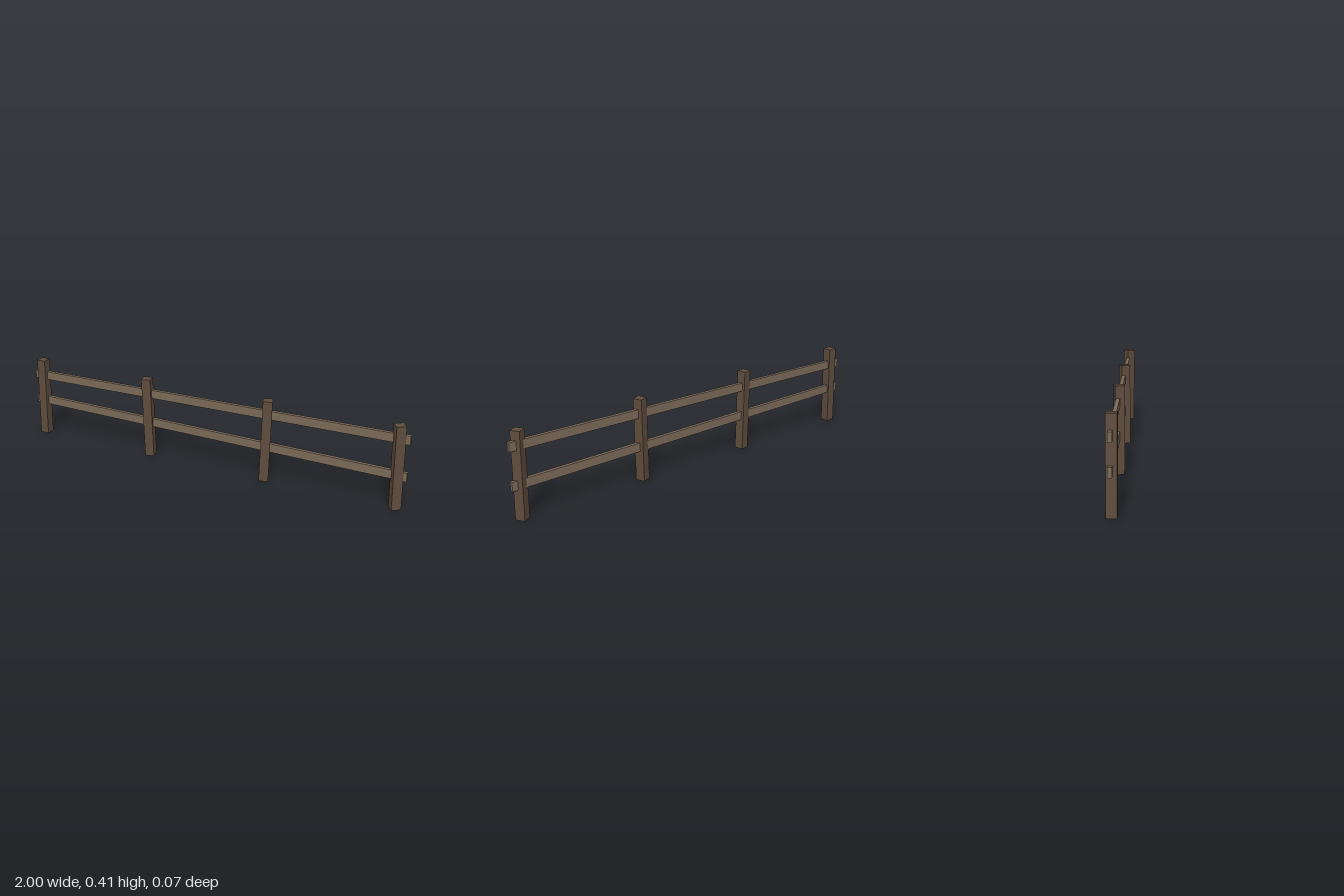
import * as THREE from 'three';

export function createModel() {
  const model = new THREE.Group();
  model.name = 'fence';
  const postWood = new THREE.MeshStandardMaterial({ color: 0x5f4c3e, flatShading: true });
  const railWood = new THREE.MeshStandardMaterial({ color: 0x7a6a58, flatShading: true });

  function beam(name, size, position, material, yaw, lean) {
    const mesh = new THREE.Mesh(new THREE.BoxGeometry(...size), material);
    mesh.name = name;
    mesh.position.set(...position);
    mesh.rotation.set(0, yaw, lean);
    model.add(mesh);
  }

  // Four square posts, each twisted a little more and leaning the other way
  const postHeight = 0.412;
  for (let i = 0; i < 4; i++) {
    const x = -0.953 + i * 0.6353;
    const yaw = THREE.MathUtils.degToRad(11 * i);
    const lean = i % 2 ? 0.026 : -0.026;
    beam(`post${i + 1}`, [0.0455, postHeight, 0.0455], [x, 0.207, 0], postWood, yaw, lean);
  }

  // Two thin rails running through the posts, sloping in opposite directions
  beam('upperRail', [2, 0.043, 0.018], [0, 0.337, -0.005], railWood, 0, 0.011);
  beam('lowerRail', [2, 0.043, 0.018], [0, 0.178, -0.005], railWood, 0, -0.011);

  return model;
}
